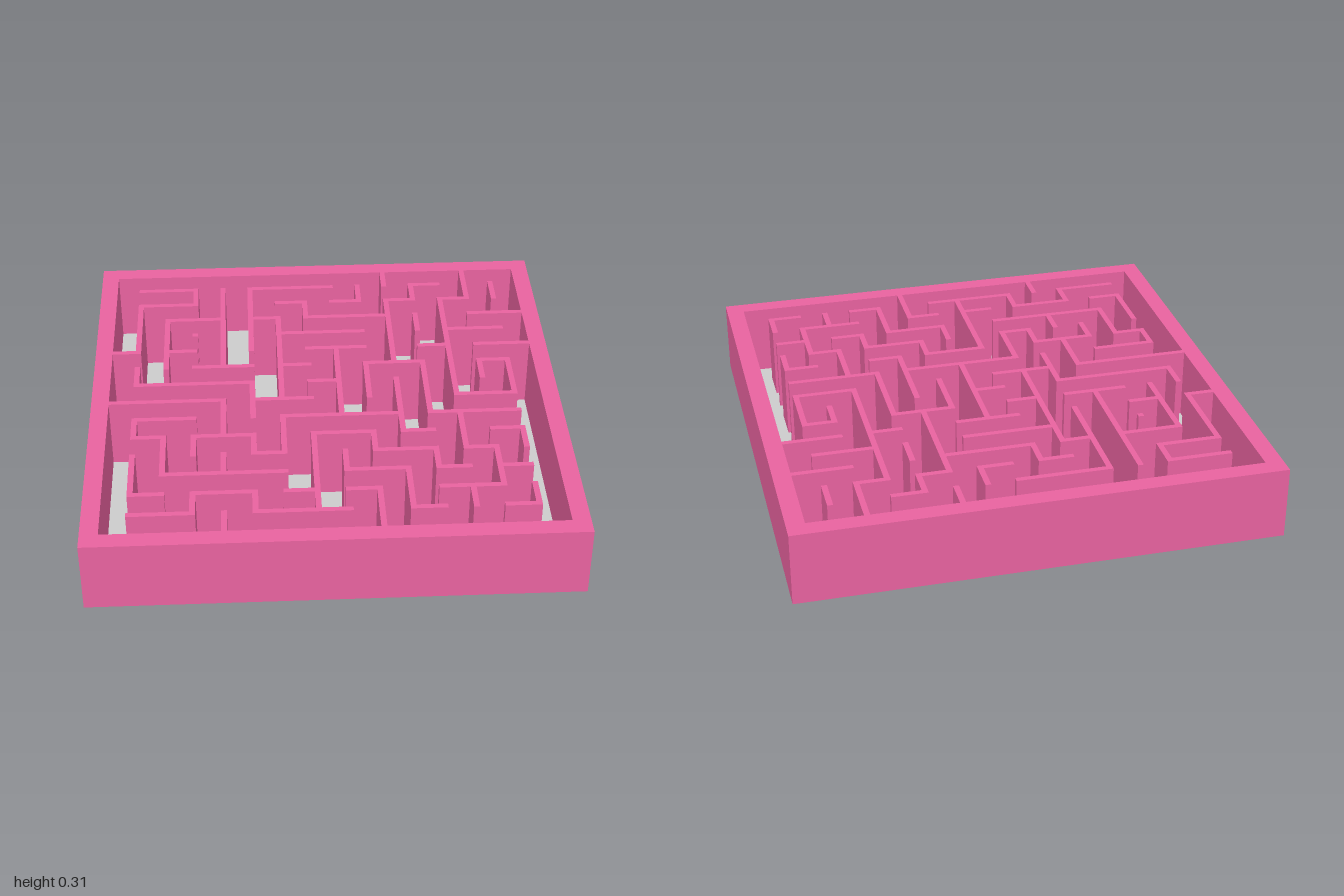
import * as THREE from 'three';

const HEIGHT = 0.31;
const PITCH = 0.125;      // spacing of the wall lines
const HALF = 0.012;       // half thickness of an inner wall
const LINES = 16;         // wall lines 0..15; 0 and 15 are the frame
const N = 2 * LINES - 1;  // wall lines (even) alternate with corridors (odd)

// Wall runs "from-to" on lines 1..14: along x (one row per z line) ...
const ALONG_X = [
  '1-3 5-8 11-12',
  '1-3 6-7 8-9 10-11 12-13',
  '2-4 5-6 7-10 13-15',
  '3-3 6-9 12-14',
  '0-1 2-3 7-9 11-12 13-15',
  '3-5 6-7 9-11 13-14',
  '1-5 7-8',
  '0-4 5-7 12-14',
  '1-3 6-10 11-14',
  '1-2 3-5 7-9 10-11 13-14',
  '5-6 9-11 12-13',
  '2-6 8-10 11-12 13-14',
  '1-2 3-5 6-7 8-9 11-13',
  '1-3 5-8 10-11 13-14',
];
// ... and along z (one row per x line)
const ALONG_Z = [
  '2-5 6-7 9-10 11-13',
  '3-6 10-12',
  '1-2 10-11 13-14',
  '1-6 8-10 11-12 14-15',
  '1-5 7-9 10-11 13-14',
  '3-8 9-11',
  '2-3 10-14',
  '5-9 11-12',
  '1-2 6-8 10-11 13-15',
  '0-1 2-6 7-10 12-14',
  '1-2 3-4 6-9 11-12',
  '2-8 9-11 13-14',
  '0-2 6-7 11-13',
  '1-2 6-8 10-11 13-14',
];

// Boundaries of the alternating wall and corridor strips
const edges = [-1];
for (let i = 0; i < LINES; i++) {
  const c = (i - (LINES - 1) / 2) * PITCH;
  if (i > 0) edges.push(c - HALF);
  if (i < LINES - 1) edges.push(c + HALF);
}
edges.push(1);

// Plan grid: 0 open, 1 inner wall, 2 frame
function makePlan() {
  const last = N - 1;
  const plan = Array.from({ length: N }, (_, z) => Array.from({ length: N }, (_, x) =>
    (x === 0 || z === 0 || x === last || z === last ? 2 : 0)));
  const mark = (rows, set) => rows.forEach((row, r) => row.split(' ').forEach((run) => {
    const [a, b] = run.split('-').map(Number);
    for (let k = 2 * a; k <= 2 * b; k++) set(2 * (r + 1), k);
  }));
  mark(ALONG_X, (z, x) => { plan[z][x] = plan[z][x] || 1; });
  mark(ALONG_Z, (x, z) => { plan[z][x] = plan[z][x] || 1; });
  return plan;
}

// Collects quads, corners counter-clockwise as seen from the front
class Quads {
  constructor() { this.pos = []; }
  add(a, b, c, d) { this.pos.push(...a, ...b, ...c, ...a, ...c, ...d); }
  flat(x0, x1, z0, z1, y) {
    this.add([x0, y, z0], [x0, y, z1], [x1, y, z1], [x1, y, z0]);
  }
  // Upright face over a ground line, facing to the right of the way a -> b turned outwards
  upright(ax, az, bx, bz) {
    this.add([ax, 0, az], [bx, 0, bz], [bx, HEIGHT, bz], [ax, HEIGHT, az]);
  }
  mesh(name, color) {
    const g = new THREE.BufferGeometry();
    g.setAttribute('position', new THREE.Float32BufferAttribute(this.pos, 3));
    g.computeVertexNormals();
    const m = new THREE.Mesh(g, new THREE.MeshStandardMaterial({ color, side: THREE.DoubleSide }));
    m.name = name;
    return m;
  }
}

export function createModel() {
  const plan = makePlan();
  const floor = new Quads(), walls = new Quads(), frame = new Quads();
  const open = (x, z) => !(plan[z] && plan[z][x]);

  for (let z = 0; z < N; z++) {
    for (let x = 0; x < N; x++) {
      const x0 = edges[x], x1 = edges[x + 1], z0 = edges[z], z1 = edges[z + 1];
      if (open(x, z)) {
        floor.flat(x0, x1, z0, z1, 0);
        continue;
      }
      // Walls are hollow shells, open underneath
      const part = plan[z][x] === 2 ? frame : walls;
      part.flat(x0, x1, z0, z1, HEIGHT);
      if (open(x, z + 1)) part.upright(x0, z1, x1, z1);
      if (open(x, z - 1)) part.upright(x1, z0, x0, z0);
      if (open(x + 1, z)) part.upright(x1, z1, x1, z0);
      if (open(x - 1, z)) part.upright(x0, z0, x0, z1);
    }
  }

  const group = new THREE.Group();
  group.name = 'maze';
  group.add(
    floor.mesh('floor', 0xcccccc),
    walls.mesh('mazeWalls', 0xe8629f),
    frame.mesh('outerFrame', 0xe8629f),
  );
  return group;
}
